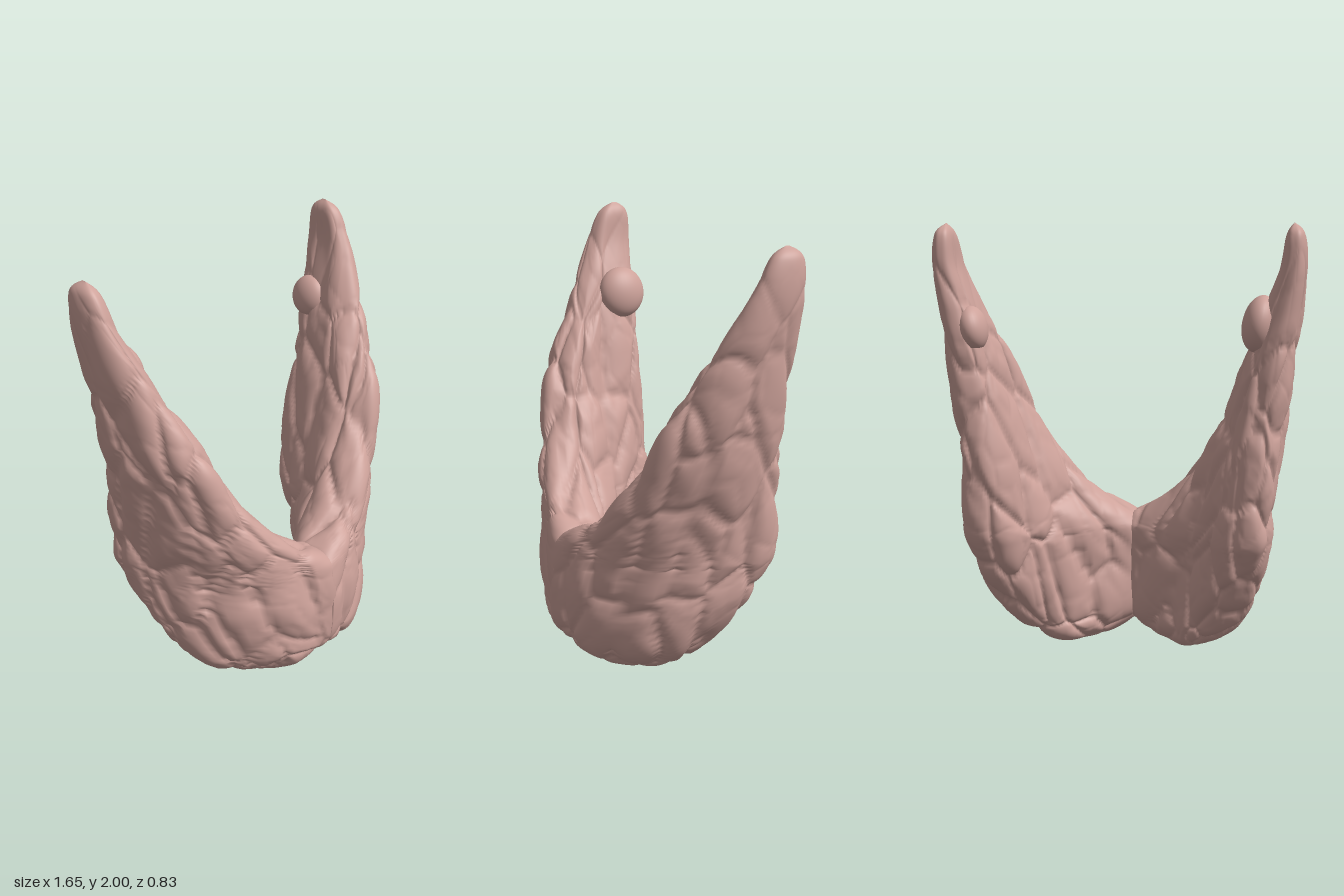
import * as THREE from 'three';

// Horizontal sections of a lobe, bottom to top. Each is a bowed slab:
// [height, front-inner end x,z, bow control x,z, back end x,z, half thickness]
const SECTIONS = [
  [0.00, 0.22, 0.15, 0.24, 0.13, 0.27, 0.09, 0.0],
  [0.03, 0.12, 0.24, 0.26, 0.15, 0.35, 0.00, 0.07],
  [0.10, 0.00, 0.30, 0.31, 0.18, 0.44, -0.08, 0.125],
  [0.20, -0.10, 0.32, 0.39, 0.21, 0.51, -0.16, 0.145],
  [0.40, -0.12, 0.325, 0.46, 0.22, 0.58, -0.30, 0.15],
  [0.54, -0.12, 0.31, 0.49, 0.20, 0.60, -0.37, 0.15],
  [0.61, -0.02, 0.29, 0.50, 0.18, 0.61, -0.40, 0.15],
  [0.73, 0.18, 0.245, 0.53, 0.14, 0.61, -0.41, 0.145],
  [0.95, 0.38, 0.175, 0.585, 0.06, 0.62, -0.41, 0.135],
  [1.20, 0.50, 0.12, 0.67, -0.03, 0.635, -0.39, 0.125],
  [1.40, 0.565, 0.01, 0.70, -0.09, 0.66, -0.40, 0.11],
  [1.60, 0.64, -0.10, 0.74, -0.16, 0.70, -0.40, 0.09],
  [1.80, 0.72, -0.18, 0.77, -0.25, 0.75, -0.41, 0.06],
  [1.95, 0.745, -0.25, 0.765, -0.31, 0.755, -0.40, 0.04],
  [2.00, 0.75, -0.32, 0.75, -0.33, 0.75, -0.34, 0.0],
];
const ROWS = 170, COLS = 144;

// Smooth interpolation of the section table, v from 0 to 1
function sectionAt(v) {
  const n = SECTIONS.length - 1;
  const i = Math.min(Math.floor(v * n), n - 1), f = v * n - i;
  const at = k => SECTIONS[Math.max(0, Math.min(n, k))];
  return SECTIONS[0].map((_, c) => {
    const [a, b, d, e] = [at(i - 1)[c], at(i)[c], at(i + 1)[c], at(i + 2)[c]];
    return b + 0.5 * f * (d - a + f * (2 * a - 5 * b + 4 * d - e + f * (3 * (b - d) + e - a)));
  });
}

// Repeatable hash for cell jitter
function hash(x, y, z, k) {
  const s = Math.sin(x * 127.1 + y * 311.7 + z * 74.7 + k * 53.3) * 43758.5453;
  return s - Math.floor(s);
}

// Domed cells with creases between them, 0 in the crease to 1 on the crown
function lobules(x, y, z, seed) {
  const ix = Math.floor(x), iy = Math.floor(y), iz = Math.floor(z);
  let near = 9, next = 9;
  for (let a = ix - 1; a <= ix + 1; a++)
    for (let b = iy - 1; b <= iy + 1; b++)
      for (let c = iz - 1; c <= iz + 1; c++) {
        const d = Math.hypot(
          a + hash(a, b, c, seed) - x,
          b + hash(a, b, c, seed + 1) - y,
          c + hash(a, b, c, seed + 2) - z);
        if (d < near) { next = near; near = d; } else if (d < next) next = d;
      }
  const rise = Math.min(1, (next - near) * 1.5);
  return Math.sqrt(rise * (2 - rise));
}

// Signed power for the rounded-slab outline
const spow = (v, p) => Math.sign(v) * Math.abs(v) ** p;

// side is +1 or -1, splay moves the tip outwards
function lobeGeometry(side, seed, splay) {
  const pos = [], index = [];
  for (let r = 0; r <= ROWS; r++) {
    const [y, px, pz, mx, mz, qx, qz, w] = sectionAt(r / ROWS);
    // The inner face is fuller in the lower half
    const inner = 1 + 0.2 * THREE.MathUtils.clamp((1.4 - y) / 0.5, 0, 1);
    for (let c = 0; c < COLS; c++) {
      const a = (c / COLS) * Math.PI * 2;
      const t = (1 - spow(Math.cos(a), 0.75)) / 2, s = 1 - t;
      const off = w * (0.96 + 0.08 * t) * spow(Math.sin(a), 0.68) * (Math.sin(a) < 0 ? inner : 1);
      const tx = s * (mx - px) + t * (qx - mx), tz = s * (mz - pz) + t * (qz - mz);
      const len = Math.hypot(tx, tz) || 1;
      const x = s * s * px + 2 * s * t * mx + t * t * qx - (tz / len) * off;
      const z = s * s * pz + 2 * s * t * mz + t * t * qz + (tx / len) * off;
      pos.push(side * Math.max(x + splay * (y / 2) ** 3, -0.01), y, z);
      if (r === ROWS) continue;
      const i = r * COLS + c, j = r * COLS + (c + 1) % COLS;
      if (side > 0) index.push(i, j, j + COLS, i, j + COLS, i + COLS);
      else index.push(i, j + COLS, j, i, i + COLS, j + COLS);
    }
  }
  const geo = new THREE.BufferGeometry();
  geo.setAttribute('position', new THREE.Float32BufferAttribute(pos, 3));
  geo.setIndex(index);
  geo.computeVertexNormals();

  // Raise large upright lobules with shallow dents, calmer at the seam and tip
  const p = geo.attributes.position, n = geo.attributes.normal;
  for (let i = COLS; i < ROWS * COLS; i++) {
    const x = p.getX(i) * side, y = p.getY(i), z = p.getZ(i);
    const fade = Math.min(1, y / 0.08, (2 - y) / 0.7, 0.15 + Math.abs(x) / 0.12);
    const lean = x - 0.3 * y;
    const big = lobules(lean / 0.19, y / 0.4, (z + 0.12 * y) / 0.19, seed);
    const small = lobules(lean / 0.12, y / 0.2, z / 0.12, seed + 7);
    const d = fade * (0.042 * (big - 0.8) + 0.006 * (small - 0.7));
    p.setXYZ(i,
      side * Math.max(x + side * n.getX(i) * d, -0.01),
      Math.max(0, y + n.getY(i) * d),
      z + n.getZ(i) * d);
  }
  geo.computeVertexNormals();
  return geo;
}

export function createModel() {
  const group = new THREE.Group();
  const tissue = new THREE.MeshStandardMaterial({ color: 0xcda29a });
  const add = (name, geo) => {
    const mesh = new THREE.Mesh(geo, tissue);
    mesh.name = name;
    group.add(mesh);
    return mesh;
  };

  // Two lobes meeting in a bridge at the middle
  add('leftLobe', lobeGeometry(1, 3, 0));
  add('rightLobe', lobeGeometry(-1, 11, 0.025));

  // Smooth bead on the inner back of each lobe
  const bead = new THREE.SphereGeometry(1, 32, 24);
  const right = add('rightNodule', bead);
  right.position.set(-0.63, 1.57, -0.295);
  right.scale.set(0.075, 0.125, 0.12);
  right.rotation.z = 0.2;
  const left = add('leftNodule', bead);
  left.position.set(0.64, 1.54, -0.32);
  left.scale.set(0.065, 0.1, 0.095);
  left.rotation.z = -0.2;

  return group;
}
